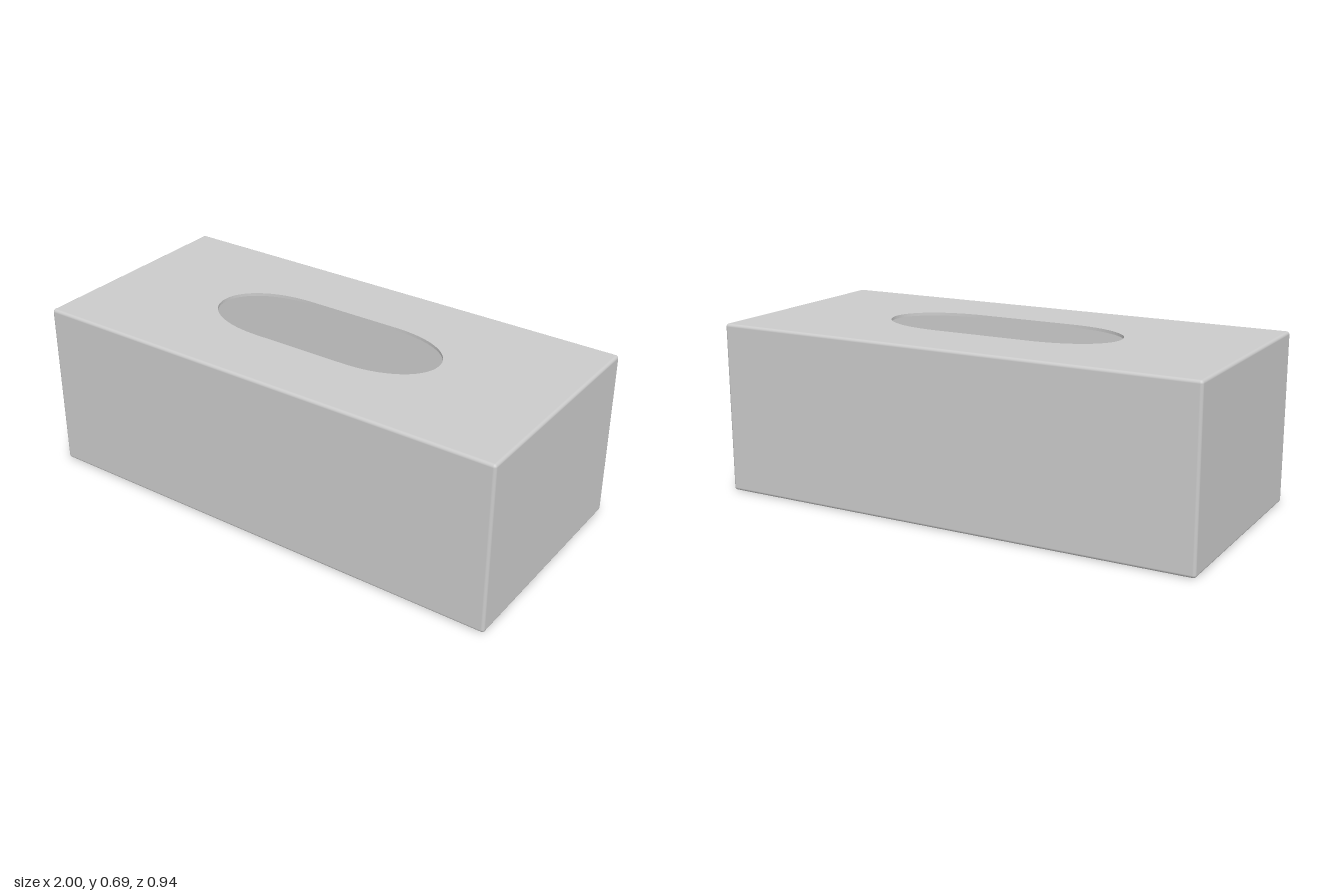
import * as THREE from 'three';

const W = 1, D = 0.47, H = 0.69; // half width, half depth, full height
const R = 0.012;                 // edge rounding
const T = 0.012;                 // wall thickness
const STEPS = 5;                 // segments per rounded edge

// Rectangle spanning the flat part between the rounded edges
function flatRect() {
  const x = W - R, z = D - R;
  return new THREE.Shape([[-x, -z], [x, -z], [x, z], [-x, z]].map(p => new THREE.Vector2(...p)));
}

// Elongated opening with softly rounded ends
function openingPath() {
  const p = new THREE.Path();
  p.moveTo(-0.2, 0.18);
  p.lineTo(0.2, 0.18);
  p.bezierCurveTo(0.38, 0.18, 0.5, 0.1, 0.5, 0);
  p.bezierCurveTo(0.5, -0.1, 0.38, -0.18, 0.2, -0.18);
  p.lineTo(-0.2, -0.18);
  p.bezierCurveTo(-0.38, -0.18, -0.5, -0.1, -0.5, 0);
  p.bezierCurveTo(-0.5, 0.1, -0.38, 0.18, -0.2, 0.18);
  return p;
}

// Outer walls with rounded edges: a sphere pulled apart at its octants
function wallGeometry() {
  const pos = [], nor = [], idx = [];
  const ring = 4 * (STEPS + 1), rows = 2 * (STEPS + 1);
  for (let j = 0; j < rows; j++) {
    const half = j > STEPS ? 1 : 0;
    const phi = (j - half) / STEPS * Math.PI / 2;
    for (let i = 0; i < ring; i++) {
      const q = Math.floor(i / (STEPS + 1));
      const a = (i - q) / STEPS * Math.PI / 2;
      const n = [Math.sin(phi) * Math.cos(a), Math.cos(phi), Math.sin(phi) * Math.sin(a)];
      const cx = (q === 0 || q === 3 ? 1 : -1) * (W - R);
      const cz = (q < 2 ? 1 : -1) * (D - R);
      pos.push(cx + R * n[0], (half ? R : H - R) + R * n[1], cz + R * n[2]);
      nor.push(...n);
      if (j < rows - 1) {
        const k = (i + 1) % ring;
        const a0 = j * ring + i, a1 = j * ring + k;
        idx.push(a0, a1, a0 + ring, a1, a1 + ring, a0 + ring);
      }
    }
  }
  const g = new THREE.BufferGeometry();
  g.setAttribute('position', new THREE.Float32BufferAttribute(pos, 3));
  g.setAttribute('normal', new THREE.Float32BufferAttribute(nor, 3));
  g.setIndex(idx);
  return g;
}

// Inward-facing box without its top, forming the hollow inside
function liningGeometry() {
  const g = new THREE.BoxGeometry(2 * (W - T), H - 2 * T, 2 * (D - T));
  const index = Array.from(g.index.array);
  index.splice(12, 6); // drop the top face
  for (let i = 0; i < index.length; i += 3) [index[i], index[i + 1]] = [index[i + 1], index[i]];
  g.setIndex(index);
  g.clearGroups();
  g.computeVertexNormals();
  return g.translate(0, H / 2, 0);
}

export function createModel() {
  const group = new THREE.Group();
  group.name = 'tissueBox';
  const material = new THREE.MeshStandardMaterial({ color: 0xcccccc });
  const add = (name, geometry) => {
    const mesh = new THREE.Mesh(geometry, material);
    mesh.name = name;
    group.add(mesh);
  };

  add('outerWalls', wallGeometry());
  add('innerLining', liningGeometry());

  // Top panel with the dispensing opening
  const lid = flatRect();
  lid.holes.push(openingPath());
  add('topPanel', new THREE.ExtrudeGeometry(lid, { depth: T, bevelEnabled: false, curveSegments: 20 })
    .rotateX(-Math.PI / 2).translate(0, H - T, 0));

  // Flat underside
  add('base', new THREE.ShapeGeometry(flatRect()).rotateX(Math.PI / 2));

  return group;
}
